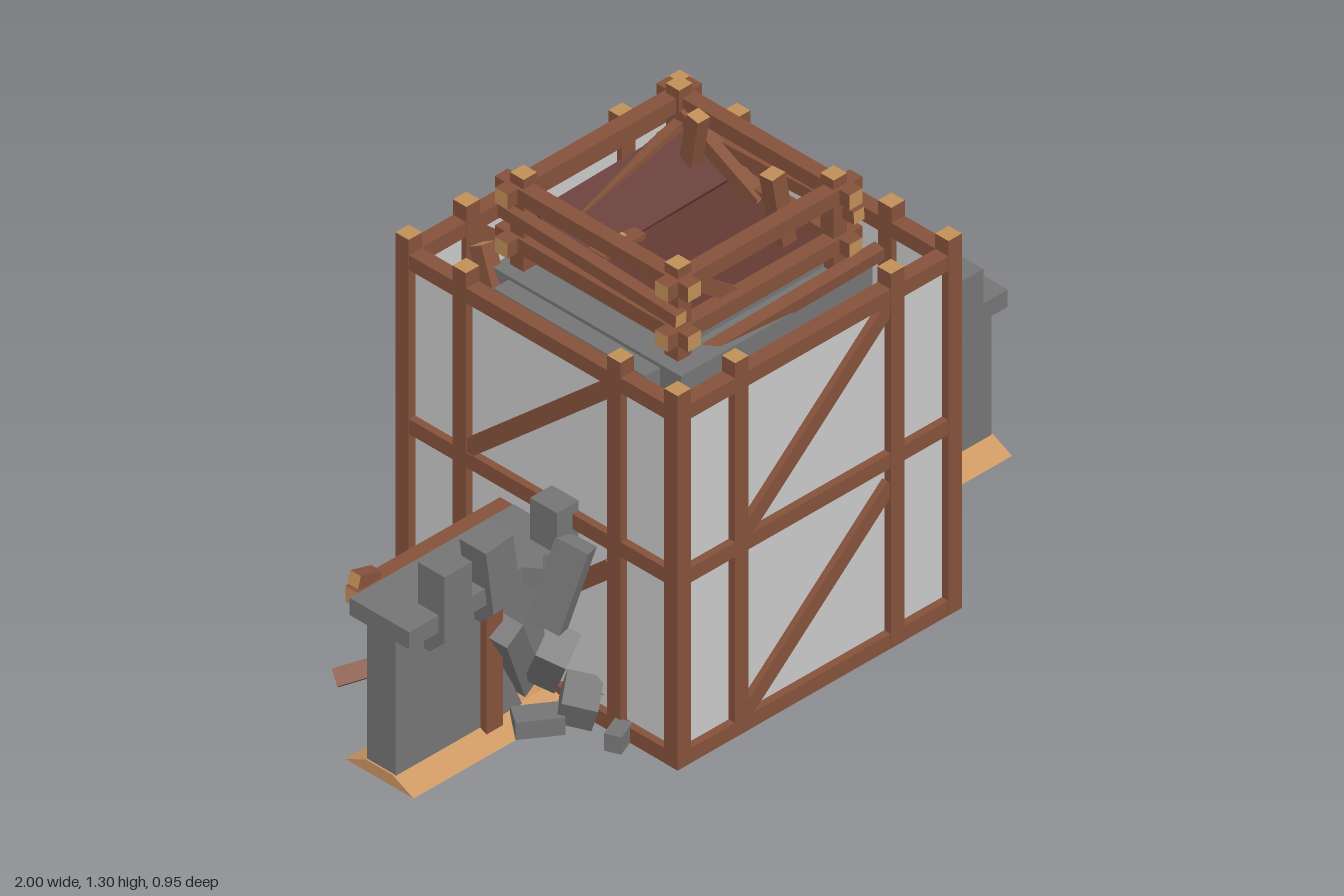
import * as THREE from 'three';

const paint = (name, color, side = THREE.FrontSide) => {
  const m = new THREE.MeshStandardMaterial({ color, side });
  m.name = name;
  return m;
};

export function createModel() {
  const wood = paint('timber', 0x85523b);
  const cutWood = paint('cut timber end', 0xc08f58);
  const earth = paint('earth', 0xcc9862);
  const stone = paint('stone', 0x757575);
  const plaster = paint('hoarding panel', 0xcacaca, THREE.DoubleSide);
  const floor = paint('dark floorboards', 0x643a34);
  const soil = paint('packed soil', 0x8a6a60);
  const model = new THREE.Group();
  model.name = 'besiegedTower';

  const UP = new THREE.Vector3(0, 1, 0);
  const group = (name, parent = model) => {
    const g = new THREE.Group();
    g.name = name;
    parent.add(g);
    return g;
  };
  const add = (parent, name, geo, mat) => {
    const m = new THREE.Mesh(geo, mat);
    m.name = name;
    parent.add(m);
    return m;
  };
  // axis-aligned block from its limits
  const block = (parent, name, mat, x0, x1, y0, y1, z0, z1) => {
    const m = add(parent, name, new THREE.BoxGeometry(x1 - x0, y1 - y0, z1 - z0), mat);
    m.position.set((x0 + x1) / 2, (y0 + y1) / 2, (z0 + z1) / 2);
    return m;
  };
  // timber between two points, with pale cut ends
  const beamMats = [wood, wood, cutWood, cutWood, wood, wood];
  const beam = (parent, name, a, b, w = 0.045, d = w) => {
    const p = new THREE.Vector3(...a), q = new THREE.Vector3(...b);
    const dir = q.clone().sub(p);
    const m = add(parent, name, new THREE.BoxGeometry(w, dir.length(), d), beamMats);
    m.position.copy(p).add(q).multiplyScalar(0.5);
    m.quaternion.setFromUnitVectors(UP, dir.normalize());
    return m;
  };
  const extrude = (pts, depth) => new THREE.ExtrudeGeometry(
    new THREE.Shape(pts.map(p => new THREE.Vector2(...p))), { depth, bevelEnabled: false });
  // (z, y) profile swept along x
  const prism = (parent, name, mat, pts, x0, x1) =>
    add(parent, name, extrude(pts, x1 - x0).rotateY(-Math.PI / 2).translate(x1, 0, 0), mat);
  const rubble = (parent, pos, size, rot) => {
    const m = add(parent, 'rubble', new THREE.BoxGeometry(...size), stone);
    m.position.set(...pos);
    m.rotation.set(...rot);
  };

  // outer timber frame: one side repeated four times
  for (let i = 0; i < 4; i++) {
    const side = group('frameSide');
    side.rotation.y = i * Math.PI / 2;
    const Z = 0.4525;
    for (const x of [-Z, -0.26, 0.26]) beam(side, 'post', [x, 0.035, Z], [x, 1.122, Z]);
    for (const y of [0.056, 0.58, 1.056]) beam(side, 'rail', [-0.43, y, Z], [0.43, y, Z], 0.043, 0.043);
    for (const y of [0.08, 0.605]) beam(side, 'brace', [-0.245, y, Z], [0.245, y + 0.425, Z], 0.045, 0.038);
    block(side, 'panel', plaster, -0.44, 0.44, 0.05, 1.06, 0.447, 0.453);
  }

  // central stone tower and its footing
  const tower = group('stoneTower');
  block(tower, 'foundation', stone, -0.32, 0.32, 0.01, 0.034, -0.32, 0.32);
  block(tower, 'soilPlate', soil, -0.39, 0.39, 0.03, 0.042, -0.39, 0.39);
  const skirt = add(tower, 'earthSkirt', new THREE.CylinderGeometry(0.42, 0.51, 0.04, 4).rotateY(Math.PI / 4), earth);
  skirt.position.set(0.01, 0.062, -0.005);
  block(tower, 'shaft', stone, -0.28, 0.28, 0.035, 0.98, -0.28, 0.28);
  block(tower, 'corniceLedge', stone, -0.32, 0.32, 0.9, 1.03, -0.31, 0.33);
  block(tower, 'sideLedge', stone, -0.37, -0.3, 0.9, 1.02, -0.25, 0.26);
  block(tower, 'crown', stone, -0.24, 0.25, 1.03, 1.09, -0.24, 0.25);

  // top platform with a broken, raised rear floor
  const deck = group('topPlatform');
  block(deck, 'floor', floor, -0.24, 0.25, 1.085, 1.1, -0.09, 0.25);
  const tilt = block(deck, 'raisedFloor', floor, -0.235, 0.245, 1.135, 1.15, -0.255, -0.075);
  tilt.rotation.set(0.46, 0, 0.05);
  for (const x of [-0.26, 0.26]) for (const z of [-0.26, 0.26])
    beam(deck, 'cornerPost', [x, 0.8, z], [x, 1.297, z], 0.045);
  for (const s of [-0.27, 0.27]) for (const y of [1.105, 1.248]) {
    beam(deck, 'crossRail', [-0.325, y, s], [0.325, y, s], 0.043);
    beam(deck, 'sideRail', [s, y, -0.325], [s, y, 0.325], 0.043);
  }
  beam(deck, 'looseRail', [0.285, 1.19, 0.32], [0.285, 1.165, -0.3], 0.035);
  beam(deck, 'looseRail', [-0.29, 1.165, 0.3], [-0.29, 1.19, -0.3], 0.035);
  beam(deck, 'fallenRail', [-0.2, 1.01, 0.285], [0.33, 1.08, 0.345], 0.035);
  beam(deck, 'fallenRail', [-0.2, 1.13, -0.19], [0.26, 1.2, -0.24], 0.03);
  beam(deck, 'brace', [-0.24, 1.235, 0.25], [-0.06, 1.1, 0.25], 0.035, 0.03);
  beam(deck, 'brace', [0.255, 1.095, 0.02], [0.255, 1.225, -0.24], 0.04);
  beam(deck, 'stakePost', [0.18, 1.08, 0.175], [0.157, 1.295, 0.157], 0.045);
  beam(deck, 'stakePost', [0.04, 0.95, -0.33], [0.03, 1.0, -0.36], 0.045);
  beam(deck, 'stakePost', [0.2, 1.1, -0.17], [0.2, 1.295, -0.135], 0.04);
  beam(deck, 'leaningPost', [-0.33, 0.95, -0.28], [-0.31, 1.07, -0.35], 0.045);
  block(deck, 'trapDoor', wood, -0.19, -0.05, 1.095, 1.115, -0.125, -0.06);
  block(deck, 'trapHandle', cutWood, -0.15, -0.09, 1.115, 1.12, -0.1, -0.085);

  // shared curtain wall sections, as (z, y) profiles
  const capProfile = [[-0.1, 0.46], [0.1, 0.46], [0.1, 0.51], [-0.1, 0.51]];
  const bankProfile = [[-0.115, 0.035], [0.115, 0.035], [0.045, 0.068], [-0.045, 0.068]];
  const merlonProfile = [[0.03, 0.39], [0.07, 0.39], [0.12, 0.44], [0.12, 0.63], [0.03, 0.63]];
  const merlon = (parent, x) => prism(parent, 'merlon', stone, merlonProfile, x - 0.046, x + 0.046);

  // intact wall on the model's left, with stairs behind
  const wall = group('intactWall');
  block(wall, 'wallBody', stone, 0.28, 0.995, 0.035, 0.46, -0.047, 0.05);
  prism(wall, 'walkway', stone, capProfile, 0.4, 1);
  prism(wall, 'earthBank', earth, bankProfile, 0.39, 1);
  for (const x of [0.48, 0.66, 0.853]) merlon(wall, x);
  beam(wall, 'frontPost', [0.665, 0.035, 0.055], [0.665, 0.4, 0.055], 0.04, 0.032);
  for (const x of [0.5, 0.665, 0.93]) beam(wall, 'rearPost', [x, 0.035, -0.07], [x, 0.46, -0.07], 0.045);
  beam(wall, 'walkwayBeam', [0.4, 0.485, -0.122], [0.97, 0.485, -0.122], 0.046, 0.05);
  const steps = 10, rise = 0.0475;
  block(wall, 'landing', wood, 0.4, 0.56, 0.465, 0.51, -0.285, -0.145);
  for (let i = 0; i < steps; i++) {
    const x = 0.515 + i * 0.0455, top = 0.51 - i * rise;
    block(wall, 'stairTread', [wood, wood, wood, cutWood, cutWood, cutWood],
      x, x + 0.0455, top - rise, top, -0.285, -0.105);
  }

  // ruined wall on the model's right
  const ruin = group('ruinedWall');
  add(ruin, 'wallStump', extrude([[-0.995, 0.035], [-0.56, 0.035], [-0.6, 0.13], [-0.66, 0.25],
    [-0.715, 0.42], [-0.7, 0.46], [-0.995, 0.46]], 0.097).translate(0, 0, -0.047), stone);
  add(ruin, 'brokenCore', extrude([[-0.72, 0.035], [-0.34, 0.035], [-0.34, 0.46], [-0.5, 0.46],
    [-0.57, 0.36], [-0.64, 0.4], [-0.72, 0.3]], 0.05).translate(0, 0, -0.045), stone);
  const cap = extrude([[-1, -0.1], [-0.62, -0.1], [-0.59, -0.14], [-0.55, -0.1], [-0.5, -0.12],
    [-0.47, 0.02], [-0.4, 0], [-0.4, 0.1], [-1, 0.1]], 0.05);
  add(ruin, 'brokenWalkway', cap.rotateX(-Math.PI / 2).translate(0, 0.46, 0), stone);
  prism(ruin, 'earthBank', earth, bankProfile, -1, -0.39);
  merlon(ruin, -0.855);
  merlon(ruin, -0.48).rotation.z = 0.0;
  const loose = group('looseMerlon', ruin);
  merlon(loose, 0).position.y = -0.5;
  loose.position.set(-0.7, 0.505, 0);
  loose.rotation.z = 0.13;
  beam(ruin, 'frontPost', [-0.685, 0.035, 0.056], [-0.685, 0.4, 0.056], 0.055, 0.03);
  beam(ruin, 'walkwayBeam', [-0.4, 0.485, -0.122], [-0.97, 0.485, -0.122], 0.046, 0.045);
  beam(ruin, 'snappedPost', [-0.51, 0.46, -0.13], [-0.5, 0.1, -0.15], 0.045);
  beam(ruin, 'fallenPost', [-0.49, 0.13, -0.15], [-0.775, 0.028, -0.375], 0.045);
  beam(ruin, 'leaningPost', [-0.89, 0.46, -0.12], [-0.755, 0.025, -0.22], 0.045);
  beam(ruin, 'leaningPost', [-0.77, 0.45, -0.09], [-0.61, 0.03, -0.14], 0.04);
  beam(ruin, 'brokenBrace', [-0.53, 0.43, -0.16], [-0.87, 0.41, -0.14], 0.04);
  beam(ruin, 'splinter', [-0.96, 0.53, -0.125], [-0.89, 0.51, -0.125], 0.035);

  // fallen stones at the breach
  rubble(ruin, [-0.52, 0.43, 0.13], [0.05, 0.24, 0.09], [0.25, 0.3, -0.25]);
  rubble(ruin, [-0.6, 0.22, 0.05], [0.07, 0.3, 0.06], [0.2, 0.2, 0.5]);
  rubble(ruin, [-0.52, 0.2, 0.1], [0.1, 0.16, 0.08], [0.4, 0.5, 0.3]);
  rubble(ruin, [-0.59, 0.06, 0.12], [0.12, 0.05, 0.07], [0, -0.6, 0]);
  rubble(ruin, [-0.5, 0.06, 0.3], [0.07, 0.05, 0.045], [0, 0.4, 0]);
  rubble(ruin, [-0.5, 0.1, 0.17], [0.1, 0.09, 0.09], [0.3, 0.7, 0.2]);
  rubble(ruin, [-0.38, 0.09, 0.2], [0.1, 0.1, 0.12], [0.2, 0.4, 0.5]);
  return model;
}
